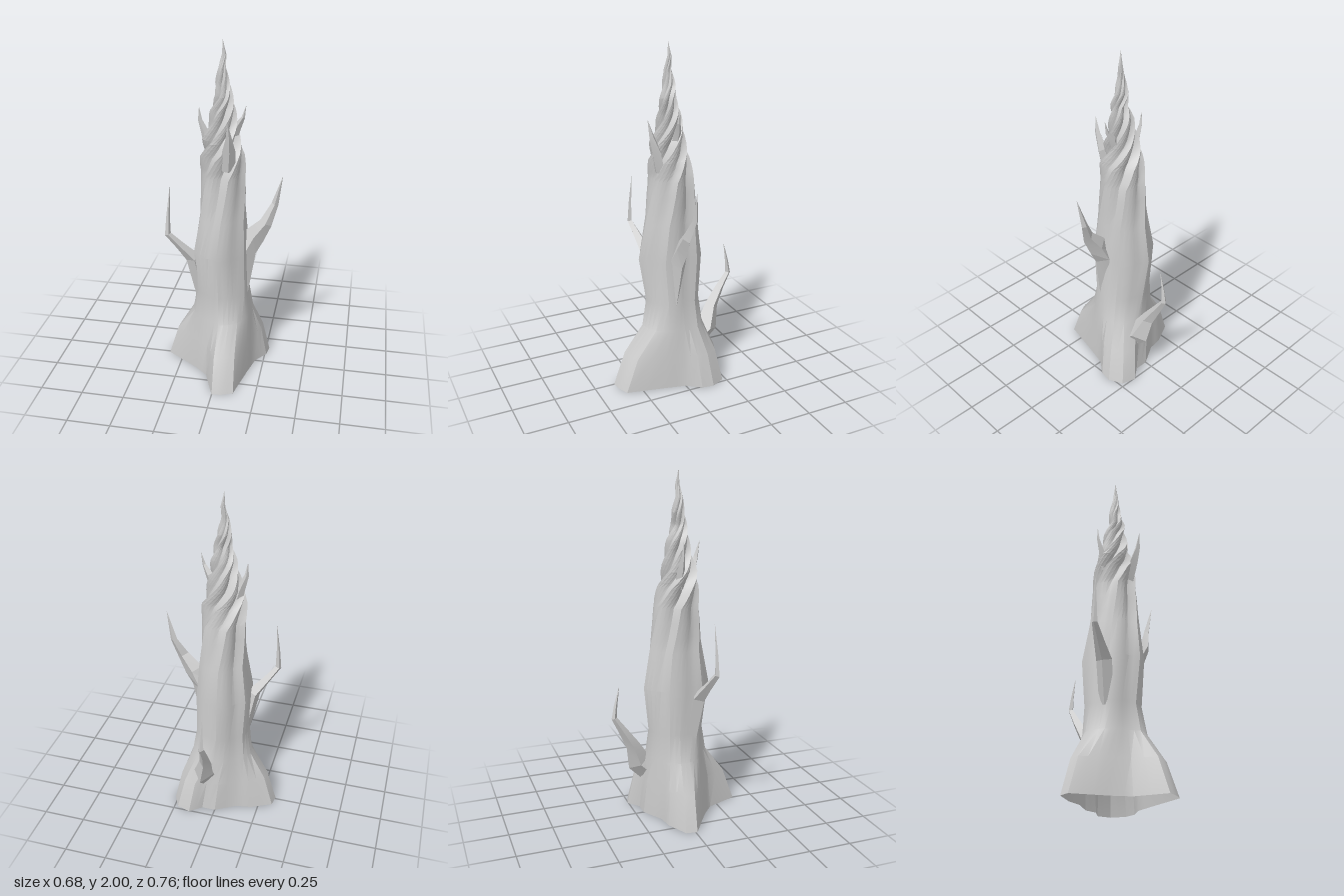
import * as THREE from 'three';
import { toCreasedNormals } from 'three/addons/utils/BufferGeometryUtils.js';

const material = new THREE.MeshStandardMaterial({ color: 0xcccccc, side: THREE.DoubleSide });
const lerp = THREE.MathUtils.lerp;

// Skin a list of closed rings (arrays of Vector3), open at both ends
function loft(rings, crease) {
  const n = rings[0].length, pos = [], index = [];
  rings.forEach((ring) => ring.forEach((p) => pos.push(p.x, p.y, p.z)));
  for (let j = 0; j < rings.length - 1; j++) {
    for (let i = 0; i < n; i++) {
      const a = j * n + i, b = j * n + (i + 1) % n;
      index.push(a, b, b + n, a, b + n, a + n);
    }
  }
  const geo = new THREE.BufferGeometry();
  geo.setAttribute('position', new THREE.Float32BufferAttribute(pos, 3));
  geo.setIndex(index);
  return toCreasedNormals(geo, crease);
}

// Root outline on the ground (x, z): front, back and side root lobes
const ROOTS = [
  [0, 0.38], [0.06, 0.37], [0.12, 0.345], [0.17, 0.12], [0.2, 0], [0.26, -0.08],
  [0.27, -0.15], [0.23, -0.23], [0.15, -0.255], [0.08, -0.2], [0, -0.2], [-0.12, -0.13],
  [-0.21, -0.115], [-0.33, -0.055], [-0.34, 0.01], [-0.23, 0.08], [-0.14, 0.14], [-0.07, 0.2],
];

// Trunk stations: y, centre x, centre z, radius x, radius z, roundness, fold depth, twist
const STATIONS = [
  [0, 0, 0, 0.17, 0.17, 0, 0, 0],
  [0.2, 0, 0, 0.168, 0.168, 0.34, 0.1, 0],
  [0.36, 0.005, 0, 0.168, 0.162, 0.86, 0.2, 0],
  [0.52, 0, 0, 0.163, 0.165, 1, 0.3, 0],
  [0.78, -0.01, 0.005, 0.168, 0.2, 1, 0.45, 0.02],
  [1.0, 0, 0.005, 0.142, 0.165, 1, 0.55, 0.1],
  [1.25, 0, 0.005, 0.13, 0.132, 1, 0.8, 0.4],
  [1.36, -0.003, 0.015, 0.126, 0.118, 1, 1.1, 0.9],
  [1.45, -0.008, 0.02, 0.108, 0.102, 1, 1.25, 1.6],
  [1.55, 0, 0.015, 0.082, 0.077, 1, 1.3, 2.4],
  [1.62, 0, 0.015, 0.072, 0.064, 1, 1.4, 3],
  [1.7, 0.008, 0.025, 0.05, 0.045, 1, 1.4, 3.8],
  [1.77, -0.002, 0.015, 0.042, 0.038, 1, 1.4, 4.5],
  [1.85, -0.004, 0.022, 0.022, 0.022, 1, 1.1, 5.3],
  [1.92, 0.006, 0.015, 0.012, 0.012, 1, 1, 6],
  [2.0, 0, 0.02, 0.0005, 0.0005, 1, 0, 6.6],
];
const FOLD = [0, 0.04, 0.1, 0.18, 0.27, 0.2]; // saw-tooth pleat
const PLEAT = [0.7, 1.2, 0.8, 1.3, 0.9, 1.2]; // strength of each pleat

function trunkRing([y, cx, cz, rx, rz, round, depth, twist]) {
  const n = ROOTS.length * 2;
  return Array.from({ length: n }, (_, i) => {
    const k = i >> 1, p = ROOTS[k], q = ROOTS[(k + 1) % ROOTS.length], half = (i % 2) / 2;
    const angle = Math.PI / 2 - (i / n) * Math.PI * 2 - twist;
    const r = 1 - depth * FOLD[i % 6] * PLEAT[Math.floor(i / 6)];
    return new THREE.Vector3(
      lerp(lerp(p[0], q[0], half), cx + Math.cos(angle) * rx * r, round), y,
      lerp(lerp(p[1], q[1], half), cz + Math.sin(angle) * rz * r, round));
  });
}

function trunkGeometry() {
  const rings = [];
  for (let s = 0; s < STATIONS.length - 1; s++) {
    const a = STATIONS[s], b = STATIONS[s + 1];
    const steps = a[0] < 1 ? 1 : 3; // finer where the folds spiral
    for (let t = 0; t < steps; t++) rings.push(trunkRing(a.map((v, i) => lerp(v, b[i], t / steps))));
  }
  rings.push(trunkRing(STATIONS[STATIONS.length - 1]));
  return loft(rings, 0.45);
}

// Four-sided thorn along points [x, y, z, half width, half depth]
function thornGeometry(points) {
  const path = points.map((p) => new THREE.Vector3(p[0], p[1], p[2]));
  const tip = path[path.length - 1];
  const side = new THREE.Vector3(tip.z, 0, -tip.x).normalize();
  const rings = path.map((p, i) => {
    const tangent = path[Math.min(i + 1, path.length - 1)].clone().sub(path[Math.max(i - 1, 0)]).normalize();
    const out = new THREE.Vector3().crossVectors(side, tangent).normalize();
    const [w, d] = points[i].slice(3);
    return [[1, 0], [0, 1], [-1, 0], [0, -1]].map(([u, v]) =>
      p.clone().addScaledVector(side, u * w).addScaledVector(out, v * d));
  });
  return loft(rings, 0.2);
}

const THORNS = {
  rightThorn: [[-0.12, 0.5, 0.06, 0.04, 0.035], [-0.165, 0.74, 0.085, 0.045, 0.04],
    [-0.23, 0.82, 0.11, 0.03, 0.025], [-0.296, 0.905, 0.137, 0.016, 0.018],
    [-0.292, 1.02, 0.135, 0.01, 0.01], [-0.28, 1.19, 0.125, 0.001, 0.001]],
  leftThorn: [[0.11, 0.52, 0.04, 0.04, 0.045], [0.135, 0.78, 0.025, 0.05, 0.06],
    [0.185, 0.88, 0.02, 0.036, 0.06], [0.25, 0.97, 0.025, 0.025, 0.036],
    [0.295, 1.08, 0, 0.018, 0.02], [0.335, 1.25, 0.01, 0.001, 0.001]],
  backThorn: [[0.065, 0.25, -0.15, 0.06, 0.07], [0.065, 0.3, -0.205, 0.06, 0.07],
    [0.04, 0.42, -0.25, 0.038, 0.04], [0.03, 0.52, -0.31, 0.026, 0.026],
    [0.03, 0.605, -0.362, 0.016, 0.016], [0.03, 0.68, -0.352, 0.01, 0.01],
    [0.03, 0.79, -0.33, 0.001, 0.001]],
  upperRightThorn: [[-0.07, 1.36, 0, 0.03, 0.03], [-0.095, 1.46, 0, 0.022, 0.026],
    [-0.13, 1.55, 0, 0.01, 0.012], [-0.135, 1.62, 0, 0.001, 0.001]],
  upperFrontThorn: [[0.04, 1.3, 0.09, 0.045, 0.025], [0.05, 1.42, 0.115, 0.036, 0.028],
    [0.055, 1.51, 0.145, 0.015, 0.016], [0.05, 1.6, 0.165, 0.001, 0.001]],
  upperLeftThorn: [[0.05, 1.45, 0, 0.025, 0.025], [0.08, 1.53, 0, 0.02, 0.022],
    [0.11, 1.58, 0.01, 0.01, 0.01], [0.125, 1.645, 0.01, 0.001, 0.001]],
};

export function createModel() {
  const model = new THREE.Group();
  model.name = 'thornySpire';
  const add = (name, geometry) => {
    const mesh = new THREE.Mesh(geometry, material);
    mesh.name = name;
    model.add(mesh);
  };
  add('twistedTrunk', trunkGeometry());
  for (const [name, points] of Object.entries(THORNS)) add(name, thornGeometry(points));
  return model;
}
